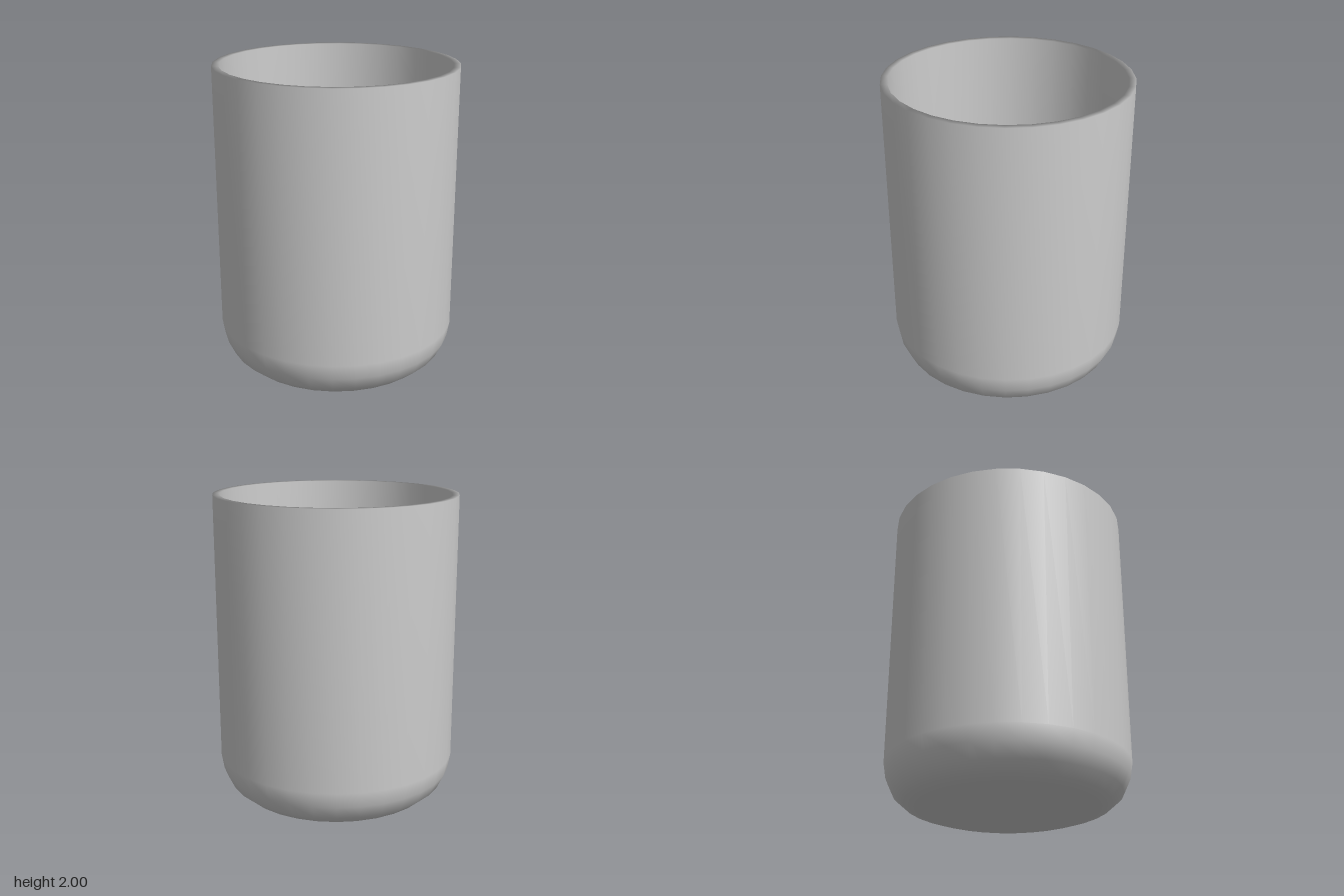
import * as THREE from 'three';

export function createModel() {
  const group = new THREE.Group();
  group.name = 'tumbler';

  // Closed profile: outer base, rounded corner, wall, rim, then down the inside
  const profile = [
    [0, 0], [0.56, 0], [0.65, 0.03], [0.72, 0.09], [0.763, 0.18], [0.78, 0.28],
    [0.78, 2], [0.737, 2],
    [0.737, 0.29], [0.722, 0.2], [0.685, 0.12], [0.63, 0.065], [0.55, 0.04], [0, 0.04],
  ].map(([r, y]) => new THREE.Vector2(r, y));

  const cup = new THREE.Mesh(
    new THREE.LatheGeometry(profile, 32),
    new THREE.MeshStandardMaterial({ color: 0xcccccc })
  );
  cup.name = 'cup';
  group.add(cup);
  return group;
}
